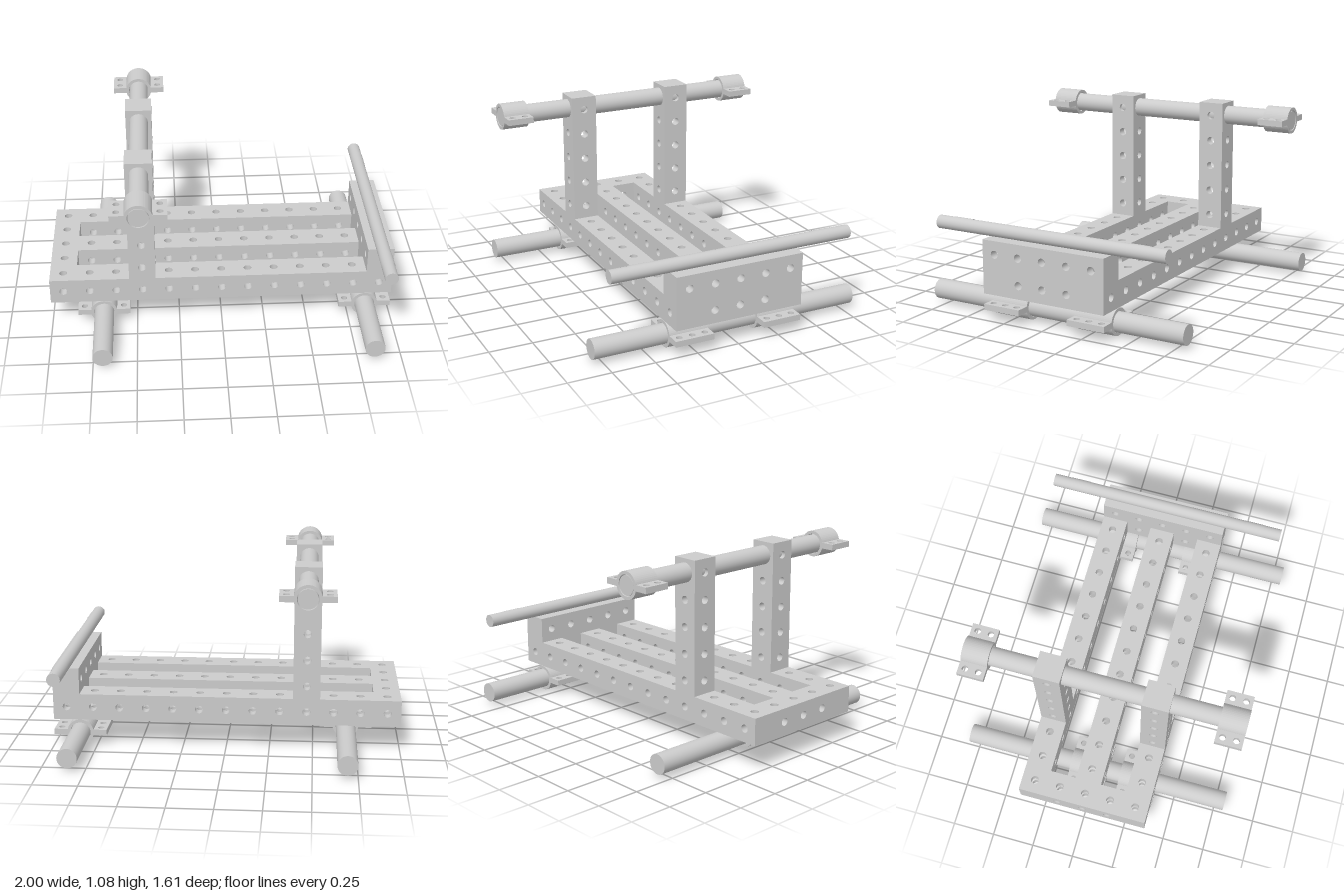
import * as THREE from 'three';
import { mergeGeometries } from 'three/addons/utils/BufferGeometryUtils.js';

const P = 2 / 13;          // hole pitch, also the beam thickness
const HOLE = 0.023;        // beam hole radius
const ZC = -0.005;         // centre line of the frame
const mat = new THREE.MeshStandardMaterial({ color: 0xcccccc });
const sheet = new THREE.MeshStandardMaterial({ color: 0xcccccc, side: THREE.DoubleSide });

// Rectangle (x0..x1, y0..y1) with round holes
function plate(x0, y0, x1, y1, holes, r) {
  const s = new THREE.Shape();
  s.moveTo(x0, y0).lineTo(x1, y0).lineTo(x1, y1).lineTo(x0, y1).closePath();
  for (const [u, v] of holes) s.holes.push(new THREE.Path().absarc(u, v, r, 0, Math.PI * 2, true));
  return s;
}

// Two opposite drilled faces, with hole walls that stop short of the crossing holes
function facePair(w, h, depth, holes) {
  const face = list => new THREE.ShapeGeometry(plate(-w / 2, -h / 2, w / 2, h / 2, list, HOLE), 8);
  const parts = [
    face(holes).translate(0, 0, depth / 2),
    face(holes.map(([u, v]) => [-u, v])).rotateY(Math.PI).translate(0, 0, -depth / 2),
  ];
  const wall = depth / 2 - HOLE;
  for (const [u, v] of holes) for (const side of [-1, 1]) {
    const g = new THREE.CylinderGeometry(HOLE, HOLE, wall, 16, 1, true).rotateX(Math.PI / 2);
    g.index.array.reverse();
    g.attributes.normal.array.forEach((n, i, a) => { a[i] = -n; });
    parts.push(g.translate(u, v, side * (depth - wall) / 2));
  }
  return mergeGeometries(parts);
}

// Drilled box beam; holes are offsets from the centre: x -> [z, y], y -> [x, z], z -> [x, y]
function beam(name, [sx, sy, sz], [x, y, z], holes = {}) {
  const hx = (holes.x || []).map(([a, b]) => [-a, b]);
  const hy = (holes.y || []).map(([a, b]) => [a, -b]);
  const mesh = new THREE.Mesh(mergeGeometries([
    facePair(sz, sy, sx, hx).rotateY(Math.PI / 2),
    facePair(sx, sz, sy, hy).rotateX(-Math.PI / 2),
    facePair(sx, sy, sz, holes.z || []),
  ]), mat);
  mesh.name = name;
  mesh.position.set(x, y, z);
  return mesh;
}

// Round bar lying along z
function bar(name, r, length, x, y) {
  const mesh = new THREE.Mesh(new THREE.CylinderGeometry(r, r, length, 32).rotateX(Math.PI / 2), mat);
  mesh.name = name;
  mesh.position.set(x, y, 0);
  return mesh;
}

// Pipe clamp: ring plus two drilled flanges, with `rows` bolt rows along z
function clamp(name, rows, x, y, z) {
  const g = new THREE.Group();
  const len = rows * P / 2, t = 0.034;
  const ringShape = new THREE.Shape().absarc(0, 0, 0.077, 0, Math.PI * 2, false);
  ringShape.holes.push(new THREE.Path().absarc(0, 0, 0.059, 0, Math.PI * 2, true));
  const ring = new THREE.Mesh(new THREE.ExtrudeGeometry(ringShape,
    { depth: len, bevelEnabled: false, curveSegments: 24 }).translate(0, 0, -len / 2), mat);
  ring.name = 'clampRing';
  g.add(ring);
  for (const side of [-1, 1]) {
    const bolts = [];
    for (let i = 0; i < rows; i++) bolts.push([side * 0.115, (i - (rows - 1) / 2) * P / 2]);
    const [a, b] = side > 0 ? [0.07, 0.153] : [-0.153, -0.07];
    const flange = new THREE.Mesh(new THREE.ExtrudeGeometry(plate(a, -len / 2, b, len / 2, bolts, 0.018),
      { depth: t, bevelEnabled: false, curveSegments: 8 }).translate(0, 0, -t / 2).rotateX(-Math.PI / 2), mat);
    flange.name = 'clampFlange';
    g.add(flange);
  }
  g.name = name;
  g.position.set(x, y, z);
  return g;
}

// Evenly pitched offsets, n of them about zero
const row = n => Array.from({ length: n }, (_, i) => (i - (n - 1) / 2) * P);

export function createModel() {
  const model = new THREE.Group();
  model.name = 'drilledBeamChassis';
  const deckY = 0.237, along = n => row(n).map(u => [u, 0]);

  // Base frame: three long beams joined by cross beams
  for (const side of [-1, 1])
    model.add(beam('sideBeam', [2, P, P], [0, deckY, ZC + side * 2 * P], { y: along(13), z: along(13) }));
  model.add(beam('middleBeam', [11 * P, P, P], [0, deckY, ZC], { y: along(11), z: along(11) }));
  model.add(beam('crossBeam', [P, P, 3 * P], [-6 * P, deckY, ZC],
    { x: along(3), y: row(3).map(v => [0, v]) }));
  model.add(beam('lowerEndBeam', [P, P, 3 * P], [6 * P, deckY, ZC], { x: along(3) }));
  model.add(beam('upperEndBeam', [P, P, 5 * P], [6 * P, deckY + P, ZC], { x: along(5) }));

  // Posts carrying the upper pipe
  const postX = -3 * P, upright = row(5).map(v => [0, v]);
  for (const side of [-1, 1])
    model.add(beam('post', [P, 5 * P, P], [postX, deckY + 3 * P, ZC + side * 2 * P],
      { x: upright, z: upright.slice(0, 4) }));

  // Upper pipe with a clamp on each end
  const topY = deckY + 5 * P;
  model.add(bar('upperPipe', 0.055, 1.61, postX, topY));
  for (const side of [-1, 1]) model.add(clamp('upperClamp', 2, postX, topY, side * 0.73));

  // Lower pipes hung below the frame
  for (const [x, zs] of [[-4.5 * P, [-0.043, 0.265]], [5.5 * P, [-0.275, 0.265]]]) {
    model.add(bar('lowerPipe', 0.057, 1.61, x, 0.082));
    for (const z of zs) model.add(clamp('lowerClamp', 3, x, 0.082, z));
  }

  // Thin rod on the end wall, with two half sleeves over its top
  const rodX = 6 * P - 0.003, rodY = 0.507;
  model.add(bar('thinRod', 0.038, 1.455, rodX, rodY));
  for (const side of [-1, 1]) {
    const sleeve = new THREE.Mesh(new THREE.CylinderGeometry(0.0395, 0.0395, 0.115, 24, 1, true,
      Math.PI / 2, Math.PI).rotateX(Math.PI / 2), sheet);
    sleeve.name = 'halfSleeve';
    sleeve.position.set(rodX, rodY, side * 0.56);
    model.add(sleeve);
  }
  return model;
}
